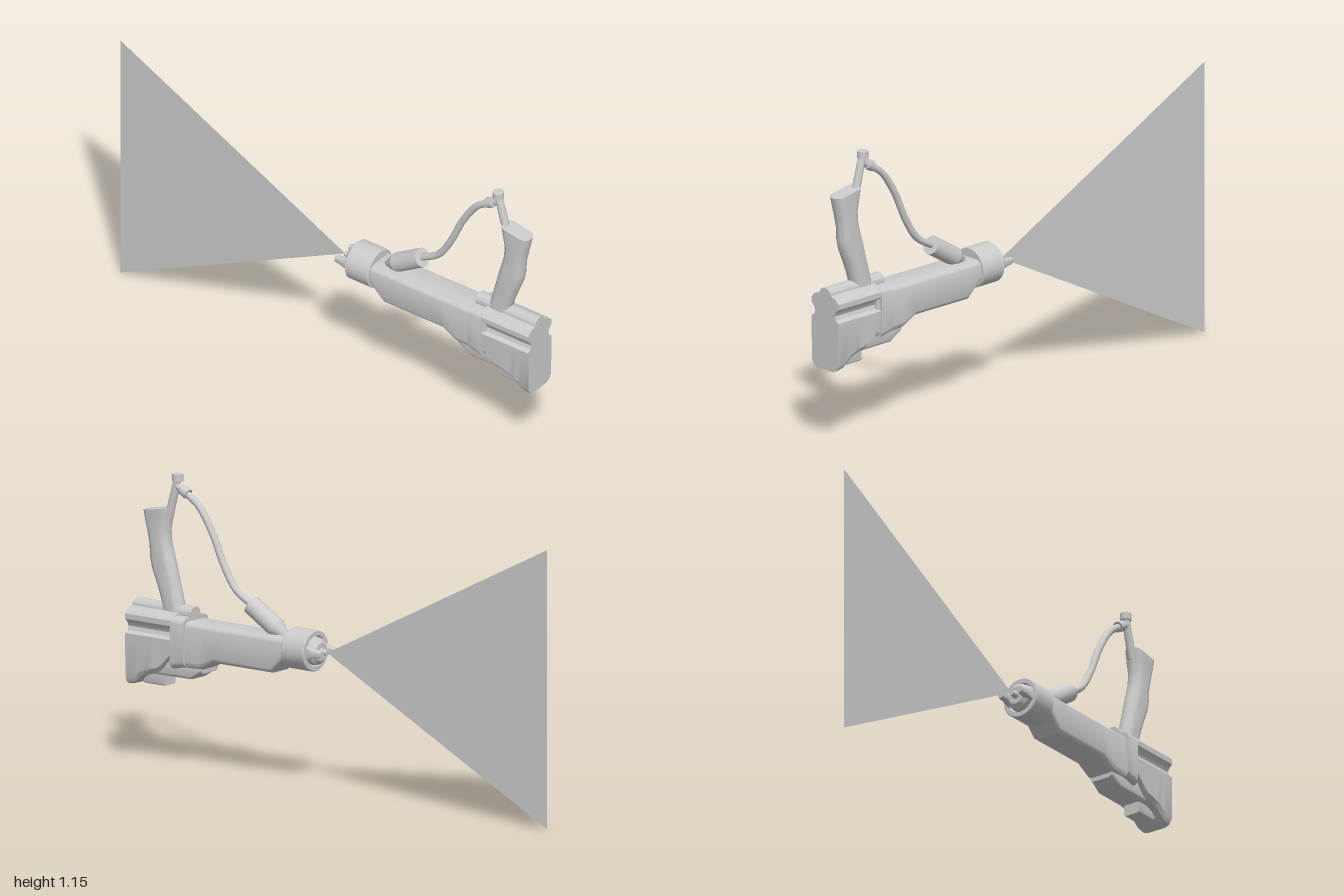
import * as THREE from 'three';
import { toCreasedNormals } from 'three/addons/utils/BufferGeometryUtils.js';

const grey = new THREE.MeshStandardMaterial({ color: 0xcccccc });
const AXIS_Y = 0.553;

export function createModel() {
  const root = new THREE.Group();

  const add = (name, geometry, material = grey) => {
    const mesh = new THREE.Mesh(geometry, material);
    mesh.name = name;
    root.add(mesh);
    return mesh;
  };

  // Round part between two points, radius r0 at a and r1 at b
  const rod = (name, a, b, r0, r1 = r0) => {
    const p = new THREE.Vector3(...a), q = new THREE.Vector3(...b);
    const d = q.clone().sub(p);
    const mesh = add(name, new THREE.CylinderGeometry(r1, r0, d.length(), 32));
    mesh.position.copy(p).add(q).multiplyScalar(0.5);
    mesh.quaternion.setFromUnitVectors(new THREE.Vector3(0, 1, 0), d.normalize());
    return mesh;
  };

  // Skin rounded-rectangle sections; each station is [x1, y1, x2, y2, halfZ]
  const loft = (name, stations, radius, crease = 0.6) => {
    const pos = [], index = [], seg = 6, n = 4 * (seg + 1);
    for (const [x1, y1, x2, y2, hz] of stations) {
      const cx = (x1 + x2) / 2, cy = (y1 + y2) / 2;
      const h = Math.hypot(x2 - x1, y2 - y1) / 2;
      const ux = (x2 - x1) / 2 / h, uy = (y2 - y1) / 2 / h;
      const r = Math.min(radius, h, hz);
      for (let c = 0; c < 4; c++) for (let i = 0; i <= seg; i++) {
        const t = (c + i / seg) * Math.PI / 2;
        const u = (c === 0 || c === 3 ? 1 : -1) * (h - r) + r * Math.cos(t);
        const v = (c < 2 ? 1 : -1) * (hz - r) + r * Math.sin(t);
        pos.push(cx + ux * u, cy + uy * u, v);
      }
    }
    const last = stations.length - 1;
    for (let s = 0; s < last; s++) for (let i = 0; i < n; i++) {
      const a = s * n + i, b = s * n + (i + 1) % n;
      index.push(a, b, b + n, a, b + n, a + n);
    }
    for (let i = 1; i < n - 1; i++) {
      index.push(0, i + 1, i, last * n, last * n + i, last * n + i + 1);
    }
    const g = new THREE.BufferGeometry();
    g.setAttribute('position', new THREE.Float32BufferAttribute(pos, 3));
    g.setIndex(index);
    return add(name, toCreasedNormals(g, crease));
  };

  // Flat spray fan
  const fan = new THREE.Shape([[0.072, AXIS_Y], [-1, 1.1], [-1, 0.005]].map(p => new THREE.Vector2(...p)));
  add('sprayFan', new THREE.ShapeGeometry(fan),
    new THREE.MeshStandardMaterial({ color: 0xcccccc, side: THREE.DoubleSide }));

  // Nozzle, air cap and its two horns
  rod('nozzleTip', [0.072, AXIS_Y, 0], [0.11, AXIS_Y, 0], 0.01, 0.016);
  const cap = [[0, 0.1], [0.035, 0.1], [0.052, 0.115], [0.055, 0.14], [0, 0.14]];
  const capMesh = add('airCap', toCreasedNormals(
    new THREE.LatheGeometry(cap.map(p => new THREE.Vector2(...p)), 40), 0.6));
  capMesh.rotation.z = -Math.PI / 2;
  capMesh.position.y = AXIS_Y;
  for (const side of [-1, 1]) {
    loft('airHorn', [
      [0.062, 0.54, 0.062, 0.566, 0.011],
      [0.1, 0.536, 0.1, 0.57, 0.016],
      [0.13, 0.525, 0.13, 0.581, 0.017],
    ], 0.008).position.z = side * 0.045;
  }

  // Retaining collar, hollow at its front
  const ring = [[0.056, 0.14], [0.06, 0.127], [0.077, 0.127], [0.08, 0.13], [0.08, 0.234], [0.077, 0.238], [0, 0.238]];
  const collar = add('collar', toCreasedNormals(
    new THREE.LatheGeometry(ring.map(p => new THREE.Vector2(...p)), 48), 0.6));
  collar.rotation.z = -Math.PI / 2;
  collar.position.y = AXIS_Y;

  // Barrel with a sloped chin and a deeper rear
  loft('barrel', [
    [0.23, 0.515, 0.23, 0.595, 0.066],
    [0.25, 0.5, 0.25, 0.597, 0.067],
    [0.3, 0.452, 0.3, 0.597, 0.067],
    [0.58, 0.452, 0.58, 0.597, 0.067],
    [0.645, 0.418, 0.645, 0.597, 0.067],
    [0.79, 0.41, 0.79, 0.597, 0.067],
  ], 0.026);
  loft('lowerHousing', [
    [0.645, 0.4, 0.645, 0.45, 0.05],
    [0.66, 0.396, 0.66, 0.45, 0.052],
    [0.7, 0.372, 0.7, 0.45, 0.055],
    [0.9, 0.37, 0.9, 0.45, 0.055],
  ], 0.015);
  loft('bottomLug', [
    [0.84, 0.325, 0.84, 0.42, 0.035],
    [0.94, 0.325, 0.94, 0.42, 0.035],
  ], 0.008);

  // Band around the joint
  loft('band', [
    [0.715, 0.42, 0.715, 0.612, 0.08],
    [0.776, 0.405, 0.776, 0.612, 0.08],
  ], 0.03);

  // Rear housing: grooved section, its floor dropping towards the back
  const half = [[0.043, 0.315], [0.062, 0.323], [0.073, 0.345], [0.075, 0.52], [0.06, 0.53], [0.055, 0.545],
    [0.06, 0.56], [0.075, 0.575], [0.075, 0.596], [0.06, 0.612], [0.035, 0.621]];
  const outline = [...half, ...half.map(([z, y]) => [-z, y]).reverse()];
  const rear = new THREE.ExtrudeGeometry(new THREE.Shape(outline.map(p => new THREE.Vector2(...p))),
    { depth: 0.23, steps: 12, bevelEnabled: false });
  rear.rotateY(Math.PI / 2).translate(0.77, 0, 0);
  const floor = [[0.77, 0.46], [0.79, 0.445], [0.84, 0.385], [0.92, 0.36], [0.965, 0.322], [1.01, 0.315]];
  const floorAt = x => {
    const i = Math.max(1, floor.findIndex(f => f[0] >= x));
    const [a, b] = [floor[i - 1], floor[i]];
    return THREE.MathUtils.mapLinear(x, a[0], b[0], a[1], b[1]);
  };
  const rp = rear.attributes.position;
  for (let i = 0; i < rp.count; i++) {
    const y = rp.getY(i);
    if (y < 0.5) rp.setY(i, 0.5 - (0.5 - y) * (0.5 - floorAt(rp.getX(i))) / 0.185);
  }
  add('rearHousing', toCreasedNormals(rear, 0.6));
  loft('topRail', [
    [0.715, 0.59, 0.715, 0.647, 0.03],
    [1, 0.59, 1, 0.647, 0.03],
  ], 0.026);

  // Curved grip, listed from its end down to the rail
  loft('grip', [
    [0.826, 1.024, 0.958, 1.0, 0.035],
    [0.833, 0.985, 0.952, 0.97, 0.035],
    [0.842, 0.93, 0.94, 0.92, 0.034],
    [0.838, 0.88, 0.929, 0.87, 0.034],
    [0.825, 0.835, 0.928, 0.825, 0.034],
    [0.812, 0.79, 0.918, 0.78, 0.034],
    [0.797, 0.73, 0.895, 0.725, 0.034],
    [0.783, 0.68, 0.876, 0.675, 0.034],
    [0.768, 0.62, 0.86, 0.62, 0.034],
  ], 0.032, 0.7);

  // Hose fitting at the end of the grip
  rod('fittingStem', [0.845, 0.98, 0], [0.802, 1.14, 0], 0.017, 0.015);
  rod('fittingCap', [0.802, 1.13, 0], [0.802, 1.157, 0], 0.022);
  rod('fittingBranch', [0.81, 1.115, 0], [0.765, 1.09, 0], 0.014);
  rod('fittingNut', [0.78, 1.1, 0], [0.752, 1.084, 0], 0.021);

  // Hose
  const path = [[0.765, 1.09], [0.7, 1.045], [0.634, 0.95], [0.575, 0.826], [0.516, 0.74], [0.42, 0.683]];
  const curve = new THREE.CatmullRomCurve3(path.map(([x, y]) => new THREE.Vector3(x, y, 0)));
  add('hose', new THREE.TubeGeometry(curve, 64, 0.014, 16));

  // Inlet chamber with a tapered nose sinking into the barrel
  rod('inletChamber', [0.44, 0.692, 0], [0.32, 0.618, 0], 0.038);
  rod('inletNose', [0.32, 0.618, 0], [0.265, 0.584, 0], 0.038, 0.01);

  return root;
}
